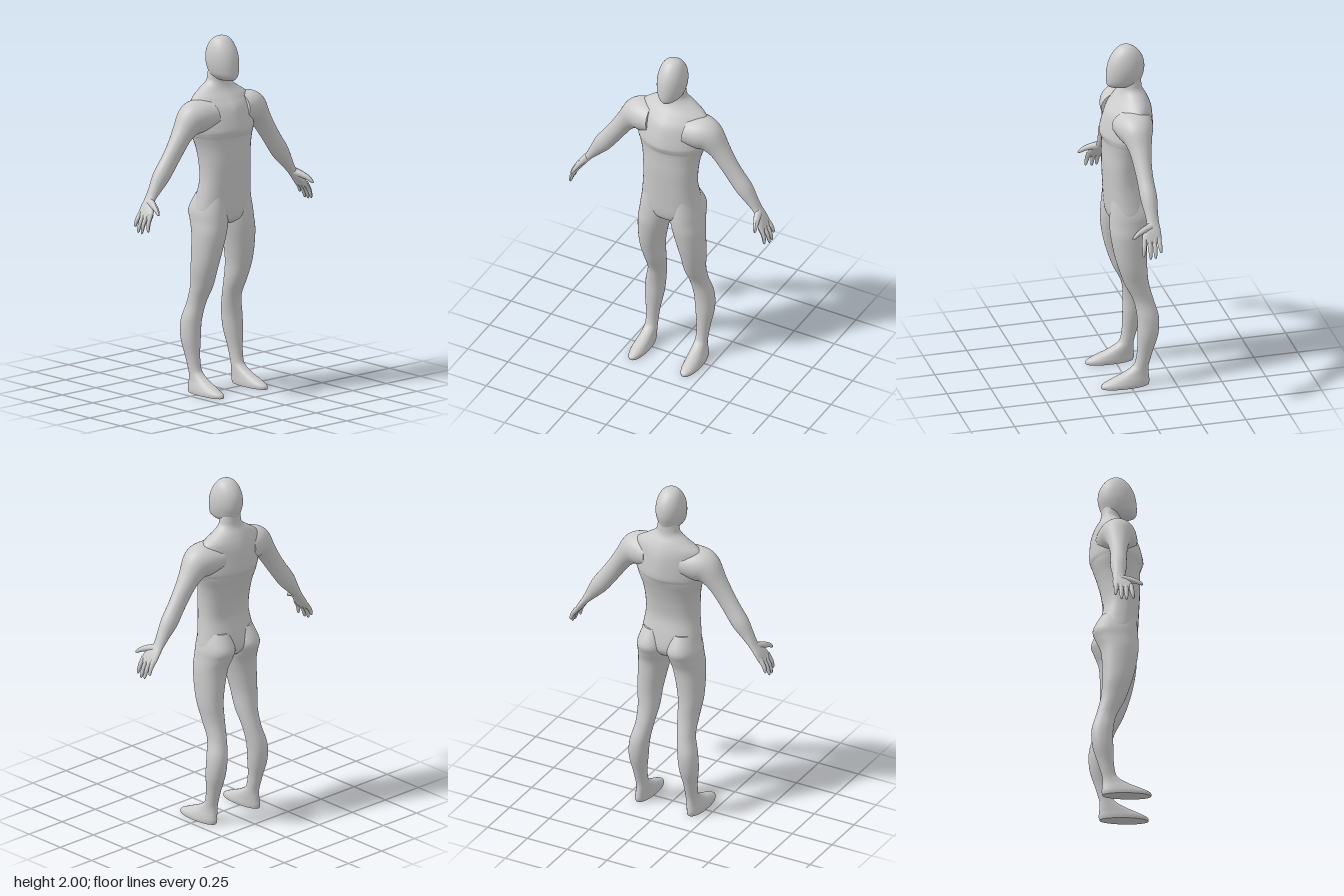
import * as THREE from 'three';

const SIDES = 40, STEPS = 6;
const material = new THREE.MeshStandardMaterial({ color: 0xcccccc });

// Smooth skin over cross-sections listed from top to bottom.
// Section: [x, y, zFront, zBack, halfWidth, tilt in degrees, pointedness]
function loft(sections) {
  const n = sections.length;
  const at = (i, k) => sections[Math.min(Math.max(i, 0), n - 1)][k] ?? (k === 6 ? 1 : 0);
  const rings = [];
  const addRing = (s, scale = 1) => {
    const [x, y, front, back, half, tilt, point] = s;
    const a = THREE.MathUtils.degToRad(tilt), depth = (front - back) / 2;
    const power = (v) => Math.sign(v) * Math.abs(v) ** point * scale;
    rings.push(Array.from({ length: SIDES }, (_, j) => {
      const t = (j / SIDES) * Math.PI * 2;
      const u = half * power(Math.cos(t)), v = depth * power(Math.sin(t));
      return [x + u * Math.cos(a), Math.max(0, y + u * Math.sin(a)), (front + back) / 2 + v];
    }));
  };
  const spline = (i, f) => [0, 1, 2, 3, 4, 5, 6].map((k) => {
    const p0 = at(i - 1, k), p1 = at(i, k), p2 = at(i + 1, k), p3 = at(i + 2, k);
    const m1 = (p2 - p0) / 2, m2 = (p3 - p1) / 2;
    return p1 + f * (m1 + f * (3 * (p2 - p1) - 2 * m1 - m2 + f * (2 * (p1 - p2) + m1 + m2)));
  });
  // Caps have their own rings so their rims stay crisp
  const first = spline(0, 0), last = spline(n - 2, 1);
  addRing(first, 0);
  addRing(first);
  for (let i = 0; i < n - 1; i++) for (let s = 0; s < STEPS; s++) addRing(spline(i, s / STEPS));
  addRing(last);
  addRing(last);
  addRing(last, 0);

  const index = [];
  for (let i = 0; i < rings.length - 1; i++) {
    if (i === 1 || i === rings.length - 3) continue;
    for (let j = 0; j < SIDES; j++) {
      const k = (j + 1) % SIDES, a = i * SIDES, b = a + SIDES;
      index.push(a + j, a + k, b + j, a + k, b + k, b + j);
    }
  }
  const geometry = new THREE.BufferGeometry();
  geometry.setAttribute('position', new THREE.Float32BufferAttribute(rings.flat(2), 3));
  geometry.setIndex(index);
  geometry.computeVertexNormals();
  return geometry;
}

// Tapered, round-tipped tube for a finger
function digit(points, radius, tipRadius) {
  const curve = new THREE.CatmullRomCurve3(points.map((p) => new THREE.Vector3(...p)));
  const length = 16, sides = 12;
  const geometry = new THREE.TubeGeometry(curve, length, 1, sides);
  const pos = geometry.attributes.position, v = new THREE.Vector3();
  for (let i = 0; i < pos.count; i++) {
    const t = Math.floor(i / (sides + 1)) / length, c = curve.getPointAt(t);
    const r = THREE.MathUtils.lerp(radius, tipRadius, t) * Math.sqrt(1 - t ** 8);
    v.fromBufferAttribute(pos, i).sub(c).multiplyScalar(r).add(c);
    pos.setXYZ(i, v.x, v.y, v.z);
  }
  geometry.computeVertexNormals();
  return geometry;
}

function mirror(geometry) {
  const copy = geometry.clone().scale(-1, 1, 1);
  copy.index.array.reverse();
  copy.computeVertexNormals();
  return copy;
}

export function createModel() {
  const group = new THREE.Group();
  const add = (name, geometry) => {
    const mesh = new THREE.Mesh(geometry, material);
    mesh.name = name;
    group.add(mesh);
  };
  const addPair = (name, geometry) => {
    add('left' + name, geometry);
    add('right' + name, mirror(geometry));
  };

  // Head: y, halfWidth, zFront, zBack
  add('head', loft([
    [2.0, 0.008, -0.012, -0.03], [1.992, 0.034, 0.014, -0.056], [1.972, 0.055, 0.038, -0.083],
    [1.94, 0.07, 0.062, -0.107], [1.9, 0.079, 0.08, -0.121], [1.85, 0.08, 0.09, -0.122],
    [1.8, 0.07, 0.092, -0.108], [1.775, 0.056, 0.088, -0.1], [1.759, 0.036, 0.074, -0.085],
    [1.753, 0.015, 0.05, -0.05],
  ].map(([y, half, front, back]) => [0, y, front, back, half, 0, 1])));

  // Neck, chest, waist and hips
  add('torso', loft([
    [0, 1.84, 0.0, -0.105, 0.055, 0, 1],
    [0, 1.78, 0.004, -0.105, 0.062, 0, 1],
    [0, 1.74, 0.004, -0.11, 0.075, 0, 1],
    [0, 1.7, 0.022, -0.132, 0.13, 0, 1.1],
    [0, 1.655, 0.06, -0.152, 0.195, 0, 1.25],
    [0, 1.6, 0.1, -0.165, 0.215, 0, 1.3],
    [0, 1.5, 0.127, -0.17, 0.213, 0, 1.2],
    [0, 1.465, 0.122, -0.158, 0.202, 0, 1.1],
    [0, 1.44, 0.112, -0.148, 0.19, 0, 1],
    [0, 1.38, 0.11, -0.128, 0.171, 0, 0.95],
    [0, 1.3, 0.11, -0.107, 0.16, 0, 0.88],
    [0, 1.2, 0.105, -0.096, 0.158, 0, 0.85],
    [0, 1.1, 0.1, -0.118, 0.17, 0, 0.86],
    [0, 1.02, 0.095, -0.128, 0.178, 0, 0.9],
    [0, 0.975, 0.082, -0.1, 0.14, 0, 1],
    [0, 0.95, 0.045, -0.06, 0.07, 0, 1],
  ]));

  // Leg and foot: y, inner x, outer x, zFront, zBack
  addPair('Leg', loft([
    [1.12, 0.02, 0.155, 0.085, -0.11], [1.03, 0.003, 0.182, 0.093, -0.155],
    [0.97, 0.002, 0.188, 0.096, -0.138], [0.9, 0.018, 0.195, 0.095, -0.112],
    [0.8, 0.042, 0.197, 0.08, -0.105], [0.7, 0.06, 0.195, 0.055, -0.105],
    [0.6, 0.066, 0.183, 0.02, -0.115], [0.5, 0.08, 0.182, -0.028, -0.14],
    [0.4, 0.095, 0.205, -0.045, -0.165], [0.3, 0.105, 0.21, -0.045, -0.16],
    [0.2, 0.12, 0.196, -0.042, -0.13], [0.13, 0.123, 0.19, -0.03, -0.11],
    [0.1, 0.122, 0.19, -0.005, -0.105], [0.07, 0.12, 0.195, 0.05, -0.106],
    [0.045, 0.118, 0.203, 0.11, -0.108], [0.02, 0.116, 0.209, 0.16, -0.11],
    [0, 0.118, 0.208, 0.164, -0.105],
  ].map(([y, inner, outer, front, back]) =>
    [(inner + outer) / 2, y, front, back, (outer - inner) / 2, 0, 0.95])));

  // Arm from inside the chest down to the palm
  addPair('Arm', loft([
    [0.11, 1.575, 0.09, -0.14, 0.085, 84, 1],
    [0.19, 1.567, 0.078, -0.124, 0.094, 78, 1],
    [0.243, 1.546, 0.058, -0.104, 0.083, 62, 1],
    [0.292, 1.485, 0.036, -0.086, 0.06, 47, 1],
    [0.342, 1.41, 0.024, -0.074, 0.053, 42, 1],
    [0.388, 1.343, 0.018, -0.072, 0.051, 39, 1],
    [0.443, 1.268, 0.016, -0.076, 0.049, 36, 1],
    [0.49, 1.202, 0.006, -0.068, 0.034, 34, 1],
    [0.526, 1.152, 0.004, -0.066, 0.022, 32, 1],
    [0.553, 1.115, 0.032, -0.068, 0.019, 30, 0.9],
    [0.575, 1.08, 0.043, -0.066, 0.015, 27, 0.85],
    [0.586, 1.058, 0.042, -0.058, 0.009, 25, 0.85],
  ]));

  // Fingers: z at the knuckle, then tip x, y, z
  const fingers = {
    IndexFinger: [0.03, 0.607, 0.99, 0.045],
    MiddleFinger: [0.003, 0.62, 0.978, 0.006],
    RingFinger: [-0.024, 0.621, 0.98, -0.022],
    LittleFinger: [-0.049, 0.613, 1.008, -0.056],
  };
  for (const [name, [z, x, y, tipZ]] of Object.entries(fingers)) {
    const middle = [(0.573 + x) / 2 + 0.008, (1.085 + y) / 2, (z + tipZ) / 2];
    addPair(name, digit([[0.573, 1.085, z], middle, [x, y, tipZ]], 0.015, 0.009));
  }
  addPair('Thumb', digit(
    [[0.535, 1.143, -0.02], [0.55, 1.132, 0.025], [0.564, 1.115, 0.066], [0.575, 1.09, 0.099]], 0.023, 0.01));

  return group;
}
